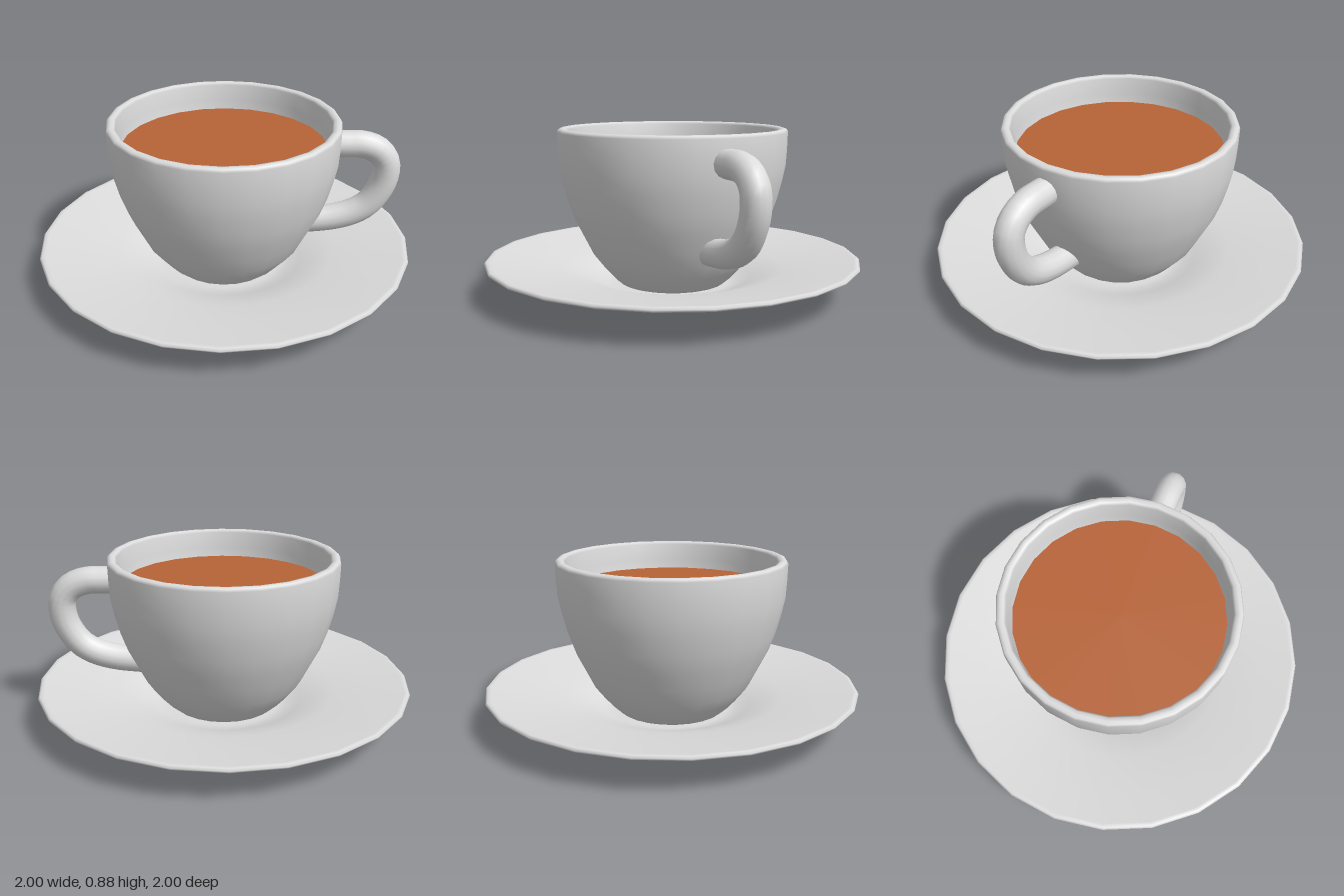
import * as THREE from 'three';

const SEGMENTS = 24;

// Revolve a list of [radius, height] pairs; the profile runs up the outside and back down the inside.
function lathe(name, profile, material) {
  const points = profile.map(([r, y]) => new THREE.Vector2(r, y));
  const mesh = new THREE.Mesh(new THREE.LatheGeometry(points, SEGMENTS), material);
  mesh.name = name;
  return mesh;
}

export function createModel() {
  const group = new THREE.Group();
  group.name = 'cupAndSaucer';

  const china = new THREE.MeshStandardMaterial({ color: 0xdcdcdc });
  china.name = 'white china';
  const tea = new THREE.MeshStandardMaterial({ color: 0xb76336 });
  tea.name = 'brown tea';

  // Saucer: flat foot, flared underside, thin rim, sunken well
  group.add(lathe('saucer', [
    [0, 0], [0.3, 0.002], [0.375, 0.008], [0.395, 0.014], [0.5, 0.075], [0.6, 0.112],
    [0.8, 0.142], [0.97, 0.165], [0.995, 0.175], [1, 0.185], [0.99, 0.195], [0.97, 0.194],
    [0.8, 0.167], [0.6, 0.137], [0.5, 0.11], [0.42, 0.08], [0.36, 0.055], [0.3, 0.045], [0, 0.045],
  ], china));

  // Cup: bowl outside, rounded lip, inner wall and floor
  group.add(lathe('cup', [
    [0, 0.05], [0.27, 0.05], [0.285, 0.055], [0.32, 0.085], [0.37, 0.14], [0.425, 0.21],
    [0.47, 0.3], [0.52, 0.4], [0.556, 0.5], [0.582, 0.6], [0.6, 0.69], [0.605, 0.78],
    [0.607, 0.865], [0.6, 0.878], [0.585, 0.883], [0.567, 0.88], [0.557, 0.868],
    [0.55, 0.78], [0.54, 0.69], [0.5, 0.5], [0.42, 0.3], [0.3, 0.13], [0, 0.11],
  ], china));

  // Tea surface
  const surface = new THREE.Mesh(new THREE.CircleGeometry(0.543, SEGMENTS), tea);
  surface.name = 'teaSurface';
  surface.rotation.x = -Math.PI / 2;
  surface.position.y = 0.73;
  group.add(surface);

  // Handle: ear-shaped tube with both ends sunk into the wall
  const path = new THREE.CatmullRomCurve3([
    [0.572, 0.748], [0.64, 0.748], [0.72, 0.746], [0.8, 0.715], [0.845, 0.66], [0.855, 0.6],
    [0.838, 0.51], [0.775, 0.405], [0.7, 0.352], [0.59, 0.317], [0.43, 0.297],
  ].map(([x, y]) => new THREE.Vector3(x, y, 0)));
  const handle = new THREE.Mesh(new THREE.TubeGeometry(path, 28, 0.072, 14), china);
  handle.name = 'handle';
  group.add(handle);

  return group;
}
